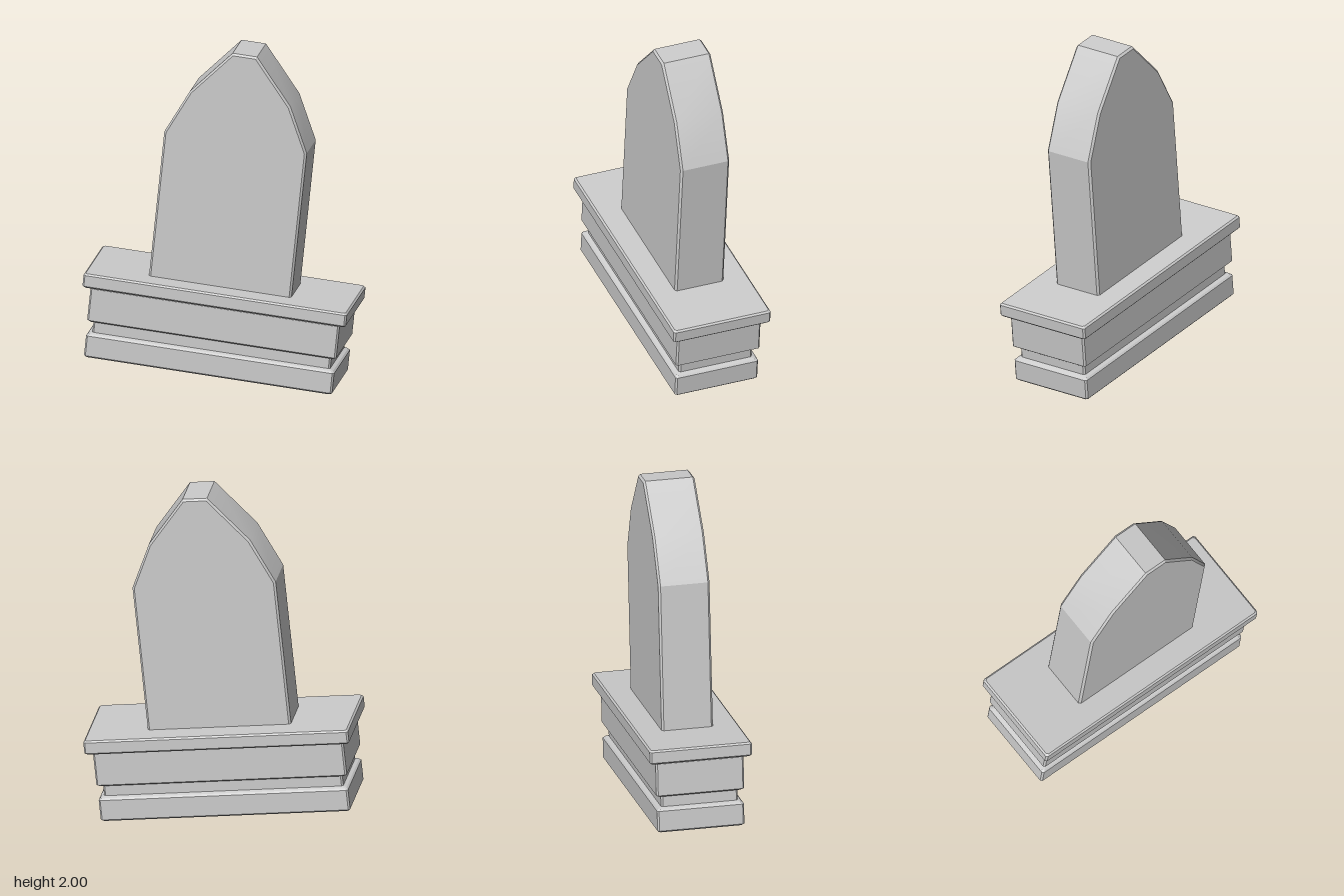
import * as THREE from 'three';
import { toCreasedNormals } from 'three/addons/utils/BufferGeometryUtils.js';

const HALF_LENGTH = 0.735, HALF_WIDTH = 0.258, CHAMFER = 0.01, BEVEL = 0.012;

// Rectangular rings with chamfered corners, stacked along y and capped.
function stackedBlock(rows) {
  const positions = [], index = [], n = 8;
  for (const [y, grow] of rows) {
    const a = HALF_LENGTH + grow, b = HALF_WIDTH + grow, c = CHAMFER;
    const ring = [[a, b - c], [a - c, b], [c - a, b], [-a, b - c], [-a, c - b], [c - a, -b], [a - c, -b], [a, c - b]];
    for (const [x, z] of ring) positions.push(x, y, z);
  }
  for (let r = 0; r < rows.length - 1; r++) {
    for (let i = 0; i < n; i++) {
      const p = r * n + i, q = r * n + (i + 1) % n;
      index.push(p, p + n, q, q, p + n, q + n);
    }
  }
  const top = (rows.length - 1) * n;
  for (let i = 1; i < n - 1; i++) {
    index.push(0, i, i + 1);
    index.push(top, top + i + 1, top + i);
  }
  const geometry = new THREE.BufferGeometry();
  geometry.setAttribute('position', new THREE.Float32BufferAttribute(positions, 3));
  geometry.setIndex(index);
  const flat = geometry.toNonIndexed();
  flat.computeVertexNormals();
  return flat;
}

export function createModel() {
  const model = new THREE.Group();
  model.name = 'gravestone';
  const material = new THREE.MeshStandardMaterial({ color: 0xcccccc });
  const add = (name, geometry) => {
    const mesh = new THREE.Mesh(geometry, material);
    mesh.name = name;
    stone.add(mesh);
  };

  // The whole stone has sunk: it leans sideways and is turned a little
  const stone = new THREE.Group();
  stone.name = 'leaningStone';
  stone.rotation.set(0, -0.162, -0.103);
  stone.position.set(-0.047, 0.076, -0.008);
  model.add(stone);

  // Plinth profile: height, growth beyond the foot's size
  add('plinth', stackedBlock([
    [0, -0.01], [0.01, 0],              // foot
    [0.13, 0], [0.14, -0.01],
    [0.148, -0.03], [0.214, -0.03],     // neck
    [0.216, -0.01], [0.226, 0.003],     // middle block
    [0.418, 0.003], [0.428, -0.005],
    [0.43, 0.035], [0.44, 0.045],       // cap
    [0.505, 0.045], [0.515, 0.035],
  ]));

  // Upright slab with a faceted pointed top
  const half = [[0.422, 0.5], [0.422, 1.393], [0.298, 1.658], [0.072, 1.926]];
  const outline = [...half, ...half.map(([x, y]) => [-x, y]).reverse()];
  const shape = new THREE.Shape(outline.map(([x, y]) => new THREE.Vector2(x, y)));
  const slab = new THREE.ExtrudeGeometry(shape, {
    depth: 0.305 - 2 * BEVEL,
    bevelThickness: BEVEL, bevelSize: BEVEL, bevelOffset: -BEVEL, bevelSegments: 1,
  });
  slab.translate(0, 0, -0.1525 + BEVEL);
  add('slab', toCreasedNormals(slab, 0.35));

  return model;
}
